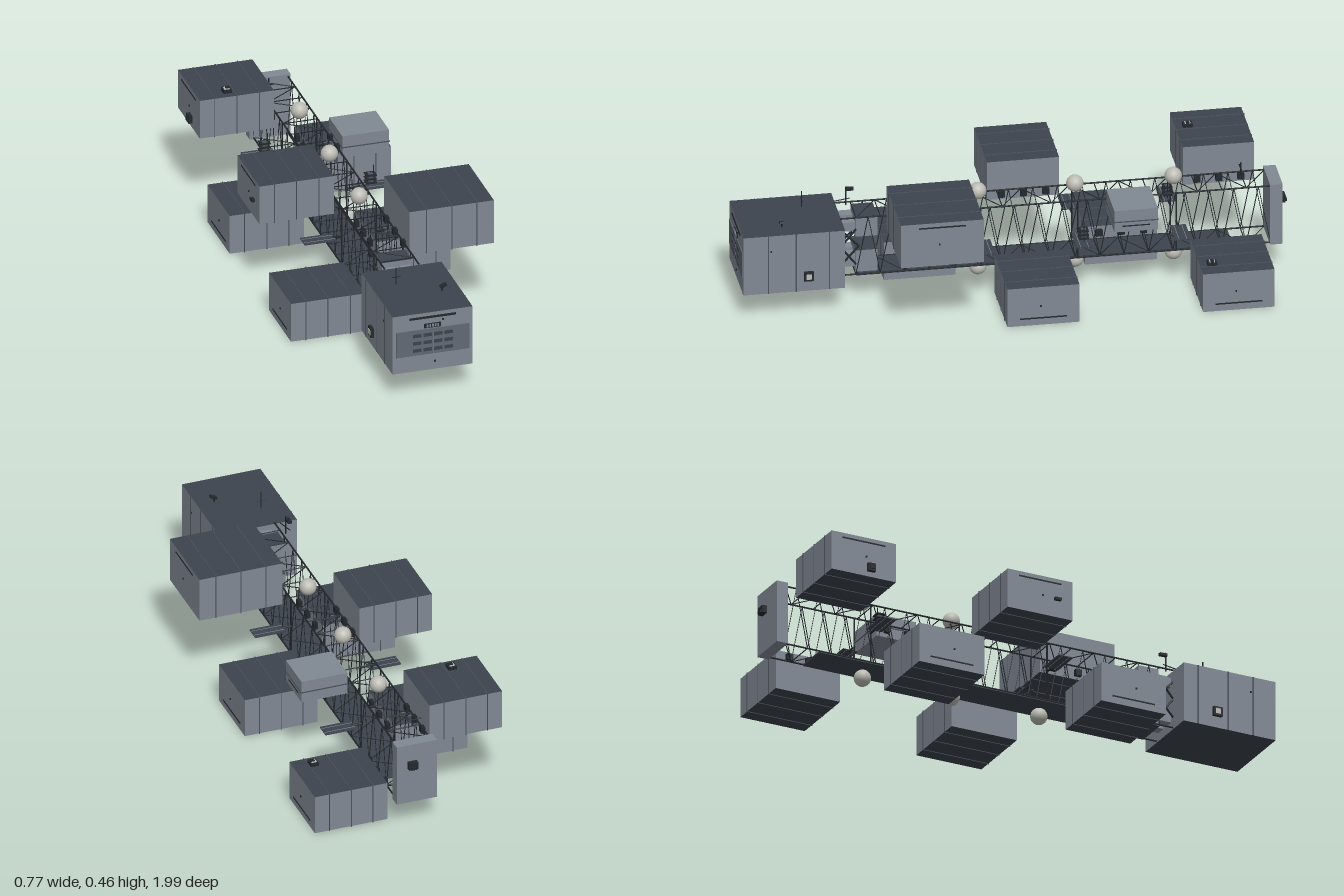
import * as THREE from 'three';

const paint = (name, color) => Object.assign(new THREE.MeshStandardMaterial({ color }), { name });

export function createModel() {
  const hull = paint('hull grey', 0x808893);
  const deck = paint('dark deck', 0x3c434d);
  const panel = paint('panel grey', 0x616974);
  const seam = paint('seam grey', 0x4b525c);
  const steel = paint('black steel', 0x24282d);
  const tank = paint('tank white', 0xbcbcb4);
  const model = new THREE.Group();
  model.name = 'cargoShip';
  const CX = -0.014; // spine centre line

  // Box from its limits
  function box(name, mat, x0, x1, y0, y1, z0, z1, parent = model) {
    const m = new THREE.Mesh(new THREE.BoxGeometry(x1 - x0, y1 - y0, z1 - z0), mat);
    m.position.set((x0 + x1) / 2, (y0 + y1) / 2, (z0 + z1) / 2);
    m.name = name;
    parent.add(m);
    return m;
  }
  // Box from its centre
  const block = (name, mat, x, y, z, w, h, d, parent) =>
    box(name, mat, x - w / 2, x + w / 2, y - h / 2, y + h / 2, z - d / 2, z + d / 2, parent);
  // Thin bar between two points
  const up = new THREE.Vector3(0, 1, 0);
  function strut(name, a, b, r, parent = model) {
    const p = new THREE.Vector3(...a), q = new THREE.Vector3(...b);
    const m = new THREE.Mesh(new THREE.CylinderGeometry(r, r, p.distanceTo(q), 5), steel);
    m.position.addVectors(p, q).multiplyScalar(0.5);
    m.quaternion.setFromUnitVectors(up, q.sub(p).normalize());
    m.name = name;
    parent.add(m);
  }
  const hullFaces = [hull, hull, deck, deck, hull, hull];

  // Command block
  const head = new THREE.Group();
  head.name = 'commandBlock';
  model.add(head);
  box('commandHull', hullFaces, -0.163, 0.135, 0.103, 0.331, 0.613, 0.98, head);
  box('windowPanel', panel, -0.15, 0.122, 0.167, 0.267, 0.978, 0.983, head);
  box('frontSlot', steel, -0.1, 0.073, 0.309, 0.317, 0.978, 0.983, head);
  box('signalPlate', steel, -0.045, 0.016, 0.271, 0.288, 0.978, 0.983, head);
  for (let i = 0; i < 5; i++) block('signalLight', hull, CX + (i - 2) * 0.01, 0.28, 0.984, 0.006, 0.011, 0.002, head);
  for (let r = 0; r < 3; r++)
    for (let c = 0; c < 4; c++)
      block('window', deck, CX + (c - 1.5) * 0.0393, 0.187 + r * 0.029, 0.984, 0.031, 0.0125, 0.003, head);
  for (let i = 0; i < 16; i++) block('centreMark', hull, CX, 0.172 + i * 0.006, 0.985, 0.002, 0.003, 0.002, head);
  for (const [x, y] of [[-0.005, 0.136], [0.025, 0.298]]) block('sensor', steel, x, y, 0.982, 0.006, 0.006, 0.006, head);
  for (const s of [-1, 1]) {
    const x = CX + s * 0.149;
    for (const z of [0.89, 0.79, 0.67]) block('sideSeam', seam, x, 0.217, z, 0.004, 0.228, 0.004, head);
    block('sideHatch', steel, x + s * 0.006, 0.163, 0.745, 0.012, 0.035, 0.035, head);
    block('hatchCover', tank, x + s * 0.013, 0.163, 0.745, 0.002, 0.02, 0.02, head);
    block('sideSensor', steel, x, 0.27, 0.88, 0.006, 0.006, 0.006, head);
  }
  // Roof mast and tilted dish
  strut('roofMast', [-0.073, 0.33, 0.735], [-0.073, 0.395, 0.735], 0.002, head);
  strut('mastArm', [-0.09, 0.36, 0.735], [-0.056, 0.36, 0.735], 0.0015, head);
  strut('dishPost', [0.068, 0.33, 0.83], [0.072, 0.35, 0.83], 0.003, head);
  block('dish', steel, 0.073, 0.351, 0.83, 0.026, 0.007, 0.018, head).rotation.z = 0.4;

  // Open spine truss
  const truss = new THREE.Group();
  truss.name = 'spineTruss';
  model.add(truss);
  const XL = -0.078, XR = 0.05, YB = 0.11, YT = 0.335, ZF = 0.56, ZB = -0.935;
  box('keelPlate', deck, XL, XR, 0.104, 0.11, -0.8, 0.56, truss);
  for (const x of [XL, XR])
    for (const y of [YB, YT]) strut('chord', [x, y, 0.615], [x, y, ZB], 0.0032, truss);
  const bays = 17, step = (ZB - ZF) / bays;
  for (let i = 0; i <= bays; i++) {
    const z = ZF + i * step;
    for (const y of [YB, YT]) strut('crossBar', [XL, y, z], [XR, y, z], 0.002, truss);
    if (i === bays) break;
    const f = i % 2, zn = z + step, zm = z + step / 2;
    for (const x of [XL, XR]) {
      strut('sideDiagonal', [x, YB, z], [x, YT, zm], 0.0018, truss);
      strut('sideDiagonal', [x, YT, zm], [x, YB, zn], 0.0014, truss);
    }
    for (const y of [YB, YT])
      strut('flatDiagonal', [f ? XL : XR, y, z], [f ? XR : XL, y, zn], 0.0018, truss);
  }

  // Neck between command block and truss
  for (const [y0, y1] of [[0.255, 0.33], [0.115, 0.2]]) {
    box('neckBlock', hullFaces, XL + 0.008, XR - 0.008, y0, y1, 0.48, 0.56);
    for (const x of [-0.045, 0.015]) box('neckPipe', hull, x - 0.02, x + 0.02, y0 + 0.02, y1 - 0.02, 0.55, 0.615);
  }
  for (const x of [XL, XR])
    for (const y of [0.15, 0.29]) {
      strut('neckBrace', [x, y, 0.615], [x, 0.222, 0.55], 0.004);
      strut('neckBrace', [x, 0.222, 0.615], [x, y, 0.56], 0.004);
    }
  strut('neckMast', [-0.1, 0.33, 0.613], [-0.115, 0.33, 0.555], 0.002);
  strut('neckMast', [-0.105, 0.31, 0.57], [-0.105, 0.382, 0.57], 0.003);
  block('mastHead', steel, -0.11, 0.37, 0.557, 0.014, 0.01, 0.03);

  // Cargo containers: inner x, outer x, y range, z range
  const cargo = [
    [0.066, 0.381, 0.291, 0.461, 0.155, 0.453],
    [-0.093, -0.37, 0.291, 0.441, -0.197, 0.063],
    [-0.093, -0.37, 0.291, 0.441, -0.9, -0.643],
    [-0.093, -0.37, 0.003, 0.153, 0.177, 0.435],
    [-0.093, -0.37, 0.003, 0.153, -0.55, -0.29],
    [0.066, 0.342, 0.003, 0.153, -0.197, 0.063],
    [0.066, 0.342, 0.003, 0.153, -0.9, -0.643],
  ];
  for (const [xi, xo, y0, y1, z0, z1] of cargo) {
    const g = new THREE.Group();
    g.name = 'cargoContainer';
    model.add(g);
    const s = Math.sign(xo), x0 = Math.min(xi, xo), x1 = Math.max(xi, xo), w = x1 - x0;
    const top = y0 > 0.2, zc = (z0 + z1) / 2;
    box('containerHull', hullFaces, x0, x1, y0, y1, z0, z1, g);
    // Wrapped seams
    for (const t of [0.2, 0.5, 0.8])
      block('containerSeam', seam, x0 + w * t, (y0 + y1) / 2, zc, 0.003, y1 - y0 + 0.004, z1 - z0 + 0.004, g);
    block('endStrip', steel, xo, top ? y1 - 0.018 : y0 + 0.028, zc, 0.004, 0.005, 0.17, g);
    block('endSensor', steel, xo, (y0 + y1) / 2, zc + 0.01, 0.008, 0.006, 0.006, g);
    // Brackets to the truss
    const yb = top ? 0.315 : 0.13;
    for (const z of [z0 + 0.05, zc, z1 - 0.05])
      box('bracket', steel, Math.min(xi, s > 0 ? XR : XL), Math.max(xi, s > 0 ? XR : XL), yb - 0.012, yb + 0.012, z - 0.012, z + 0.012, g);
  }

  // Machinery on the containers
  for (const [x, y] of [[-0.257, 0.441], [0.268, 0.153]]) {
    block('roofUnit', steel, x, y + 0.006, -0.687, 0.03, 0.012, 0.034);
    block('roofUnitCap', tank, x, y + 0.013, -0.687, 0.02, 0.003, 0.02);
    block('roofUnitTop', steel, x + 0.004, y + 0.016, -0.687, 0.016, 0.006, 0.012);
  }
  block('endUnit', steel, -0.377, 0.325, -0.745, 0.015, 0.03, 0.03);
  block('endUnitArm', steel, -0.385, 0.325, -0.745, 0.008, 0.016, 0.018);
  block('endUnit', steel, -0.376, 0.36, 0, 0.014, 0.01, 0.025);

  // Small pale pod
  box('palePod', hull, 0.066, 0.24, 0.295, 0.38, -0.497, -0.34);
  block('podBand', seam, 0.153, 0.335, -0.4185, 0.178, 0.004, 0.161);
  block('podStrip', steel, 0.24, 0.318, -0.4185, 0.004, 0.004, 0.1);
  for (const z of [-0.46, -0.38]) box('podBracket', steel, XR, 0.066, 0.31, 0.33, z - 0.01, z + 0.01);

  // Sphere tanks and thin radiator wings at three stations
  for (const z of [0.11, -0.24, -0.595]) {
    for (const y of [0.373, 0.073]) {
      const ball = new THREE.Mesh(new THREE.SphereGeometry(0.031, 28, 18), tank);
      ball.position.set(CX, y, z);
      ball.name = 'sphereTank';
      model.add(ball);
    }
    for (const x of [XL, XR]) strut('stationPost', [x, YB, z], [x, YT, z], 0.003);
    for (const s of [-1, 1]) {
      const x = CX + s * 0.152;
      block('radiatorWing', deck, x, 0.222, z, 0.118, 0.003, 0.058);
      for (const d of [-0.014, 0.014]) block('radiatorLine', hull, x, 0.222, z + d, 0.116, 0.005, 0.002);
      strut('wingArm', [CX + s * 0.06, 0.222, z], [CX + s * 0.1, 0.222, z], 0.004);
    }
  }
  // Instrument stacks standing on two wings
  for (const [x, z] of [[0.14, -0.245], [-0.145, -0.595]]) {
    for (const y of [0.235, 0.25, 0.265]) block('instrumentShelf', steel, x, y, z, 0.038, 0.004, 0.034);
    block('instrumentCore', seam, x, 0.246, z, 0.018, 0.045, 0.018);
    strut('instrumentMast', [x + 0.012, 0.222, z], [x + 0.012, 0.3, z], 0.002);
  }

  // Stern plate
  box('sternPlate', hull, -0.093, 0.06, 0.105, 0.343, -0.977, -0.932);
  block('sternUnit', steel, 0.002, 0.262, -0.985, 0.035, 0.028, 0.02);
  block('sternUnitTip', steel, 0.002, 0.255, -0.995, 0.02, 0.012, 0.01);
  strut('sternMast', [-0.05, YT, -0.845], [-0.05, 0.385, -0.845], 0.003);
  strut('sternMastArm', [-0.085, 0.36, -0.845], [-0.03, 0.36, -0.845], 0.0025);

  return model;
}
